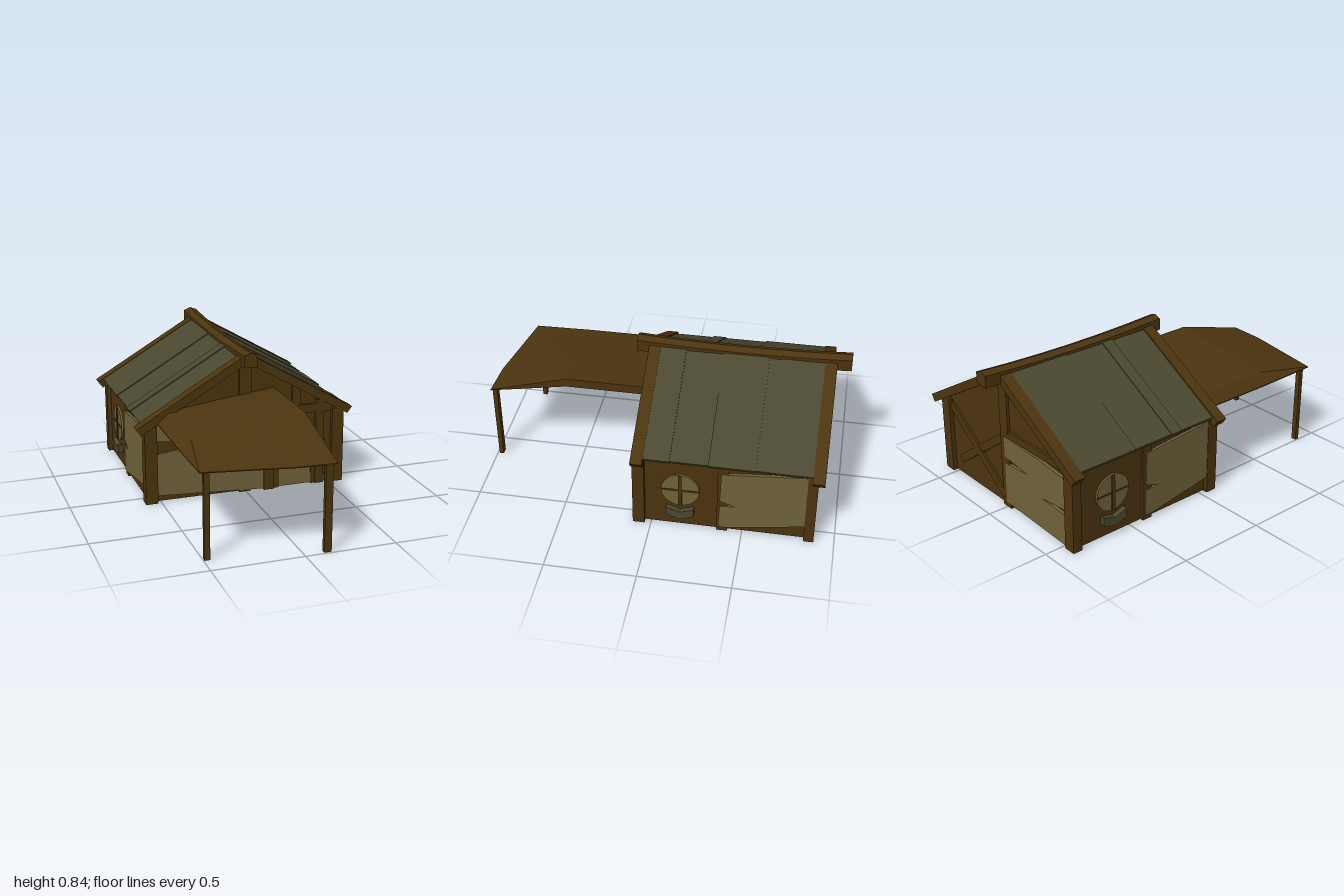
import * as THREE from 'three';

const mat = (name, color) => Object.assign(new THREE.MeshStandardMaterial({ color }), { name });

export function createModel() {
  const root = new THREE.Group();
  root.name = 'cottage';
  const timber = mat('timber', 0x4c340f);
  const plaster = mat('pale boards', 0x70623a);
  const slate = mat('slate', 0x4b4830);

  const add = (parent, name, geometry, material) => {
    const mesh = new THREE.Mesh(geometry, material);
    mesh.name = name;
    parent.add(mesh);
    return mesh;
  };
  // Outline in x, y extruded between two depths
  const slab = (parent, name, points, z0, z1, material = timber, steps = 1) => {
    const shape = new THREE.Shape(points.map(([x, y]) => new THREE.Vector2(x, y)));
    const geometry = new THREE.ExtrudeGeometry(shape, { depth: z1 - z0, bevelEnabled: false, steps });
    geometry.translate(0, 0, z0);
    return add(parent, name, geometry, material);
  };
  // Box given by its limits
  const beam = (parent, name, x0, x1, y0, y1, z0, z1, material = timber) => {
    const mesh = add(parent, name, new THREE.BoxGeometry(x1 - x0, y1 - y0, z1 - z0), material);
    mesh.position.set((x0 + x1) / 2, (y0 + y1) / 2, (z0 + z1) / 2);
    return mesh;
  };
  // Slanted beam between two points on a wall
  const brace = (parent, name, x0, y0, x1, y1, width, depth) => {
    const length = Math.hypot(x1 - x0, y1 - y0);
    const mesh = add(parent, name, new THREE.BoxGeometry(length, width, depth), timber);
    mesh.position.set((x0 + x1) / 2, (y0 + y1) / 2, depth / 2);
    mesh.rotation.z = Math.atan2(y1 - y0, x1 - x0);
  };
  const wallGroup = (name, x, z, turn) => {
    const group = new THREE.Group();
    group.name = name;
    group.position.set(x, 0, z);
    group.rotation.y = turn;
    root.add(group);
    return group;
  };

  // Gabled body and corner posts
  slab(root, 'houseBody',
    [[-0.565, 0.005], [0.565, 0.005], [0.565, 0.44], [0, 0.768], [-0.565, 0.44]], -0.865, 0.075);
  for (const s of [-1, 1]) {
    const [x0, x1] = s < 0 ? [-0.59, -0.52] : [0.52, 0.59];
    beam(root, 'frontCornerPost', x0, x1, 0, 0.45, 0.035, 0.1);
    beam(root, 'backCornerPost', x0, x1, 0, 0.45, -0.89, -0.835);
  }

  // Front wall: split boards, framing and door
  const front = wallGroup('frontWall', 0, 0.075, 0);
  slab(front, 'frontBoards', [
    [-0.52, 0.04], [0.105, 0.005], [0.105, 0.15], [-0.25, 0.17], [0.105, 0.215], [0.105, 0.425],
    [-0.2, 0.47], [-0.52, 0.47], [-0.52, 0.36], [-0.22, 0.32], [-0.52, 0.285]], 0, 0.012, plaster);
  beam(front, 'gablePost', -0.04, 0.03, 0.47, 0.76, 0, 0.015);
  beam(front, 'gablePostFoot', -0.04, 0.03, 0, 0.05, 0, 0.01);
  beam(front, 'doorSidePost', 0.105, 0.165, 0, 0.6, 0, 0.025);
  beam(front, 'doorJamb', 0.165, 0.2, 0, 0.35, 0, 0.012);
  beam(front, 'doorJamb', 0.395, 0.42, 0, 0.35, 0, 0.012);
  beam(front, 'doorLintel', 0.165, 0.42, 0.32, 0.35, 0, 0.013);
  beam(front, 'upperRail', 0.165, 0.52, 0.435, 0.485, 0, 0.016);
  beam(front, 'shortStud', 0.275, 0.325, 0.35, 0.6, 0, 0.014);
  beam(front, 'tallStud', 0.42, 0.47, 0, 0.51, 0, 0.02);
  beam(front, 'sillRail', 0.47, 0.52, 0.005, 0.05, 0, 0.014);
  beam(front, 'door', 0.2, 0.395, 0.005, 0.32, 0, 0.009, plaster);
  add(front, 'doorKnob', new THREE.SphereGeometry(0.008, 8, 6), timber).position.set(0.375, 0.14, 0.013);

  // Back wall: boards on one half, crossed braces on the other
  const back = wallGroup('backWall', 0, -0.865, Math.PI);
  slab(back, 'backBoards', [
    [0, 0.03], [0.52, 0.01], [0.52, 0.19], [0.32, 0.2], [0.52, 0.22], [0.52, 0.4], [0.3, 0.42],
    [0, 0.43], [0, 0.31], [0.2, 0.285], [0, 0.27]], 0, 0.018, plaster);
  beam(back, 'centrePost', -0.035, 0.035, 0, 0.76, 0, 0.015);
  beam(back, 'rightRail', 0, 0.52, 0.43, 0.47, 0, 0.014);
  brace(back, 'longBrace', -0.52, 0.42, -0.03, 0.06, 0.05, 0.012);
  brace(back, 'crossBrace', -0.45, 0.1, -0.04, 0.4, 0.045, 0.009);

  // Side walls: the same wall turned half a circle
  for (const s of [-1, 1]) {
    const side = wallGroup(s > 0 ? 'leftWall' : 'rightWall', s * 0.565, -0.39, s * Math.PI / 2);
    beam(side, 'middlePost', -0.03, 0.03, 0, 0.44, 0, 0.014);
    slab(side, 'sideBoards', [
      [0.03, 0.03], [0.445, 0.1], [0.445, 0.25], [0.445, 0.44], [-0.01, 0.4], [-0.015, 0.215],
      [0.07, 0.185], [-0.015, 0.18], [-0.02, 0.03]], 0.005, 0.022, plaster);
    // Round window with cross bars
    const pane = add(side, 'windowPane', new THREE.CylinderGeometry(0.105, 0.105, 0.012, 20), plaster);
    pane.rotation.x = Math.PI / 2;
    pane.position.set(-0.23, 0.25, 0.006);
    beam(side, 'windowUpright', -0.24, -0.22, 0.147, 0.353, 0, 0.018);
    beam(side, 'windowCrossbar', -0.333, -0.127, 0.245, 0.255, 0, 0.016);
    // Pointed ledge below the window
    slab(side, 'windowLedge', [
      [-0.305, 0.135], [-0.305, 0.085], [-0.23, 0.058], [-0.155, 0.085], [-0.155, 0.135],
      [-0.23, 0.11]], 0, 0.03, slate);
  }

  // Rafters at the gables and slate sheets between them
  const sheets = {
    '1': [[0.045, -0.105, 0.004], [-0.105, -0.31, -0.004], [-0.31, -0.56, 0.004],
      [-0.56, -0.63, -0.003], [-0.63, -0.865, 0.002]],
    '-1': [[0.055, -0.175, -0.003], [-0.175, -0.245, 0.004], [-0.245, -0.49, -0.002], [-0.49, -0.85, 0.004]],
  };
  for (const s of [-1, 1]) {
    const rafter = [[0, 0.823], [s * 0.64, 0.45], [s * 0.612, 0.412], [0, 0.768]];
    const shift = s > 0 ? -0.013 : 0;
    slab(root, 'frontRafter', rafter, 0.05 + shift, 0.115 + shift);
    slab(root, 'backRafter', rafter, -0.91 + shift, -0.845 + shift);
    for (const [z1, z0, lift] of sheets[s]) {
      const top = (x) => 0.816 + lift - 0.583 * x;
      const end = 0.603 + lift;
      slab(root, 'slateSheet', [[0.02 * s, top(0.02)], [end * s, top(end)],
        [(end - 0.012) * s, top(end) - 0.02], [0.02 * s, top(0.02) - 0.03]], z0, z1, slate);
    }
  }

  // Sagging ridge beam
  const ridge = slab(root, 'ridgeBeam',
    [[-0.04, 0.758], [0.04, 0.758], [0.04, 0.825], [0, 0.84], [-0.04, 0.825]], -1, 0.17, timber, 6);
  const rp = ridge.geometry.attributes.position;
  for (let i = 0; i < rp.count; i++) {
    const t = (rp.getZ(i) + 0.415) / 0.585;
    rp.setY(i, rp.getY(i) - 0.018 * (1 - t * t));
  }
  ridge.geometry.computeVertexNormals();

  // Drooping canopy: a box grid shaped by its column and row
  const xs = [-0.52, -0.46, -0.04, 0.165];
  const heights = [0.472, 0.525, 0.58, 0.605];
  const frontZ = [0.9, 0.911, 0.985, 0.995];
  const grid = new THREE.BoxGeometry(3, 1, 2, 3, 1, 2).toNonIndexed();
  const gp = grid.attributes.position;
  for (let i = 0; i < gp.count; i++) {
    const col = Math.round(gp.getX(i) + 1.5);
    const row = Math.round(gp.getZ(i) + 1);
    const thick = row === 2 || col === 0 ? 0.005 : 0.05;
    const y = (row === 2 ? 0.478 : heights[col]) - (gp.getY(i) < 0 ? thick : 0);
    gp.setXYZ(i, xs[col], y, [0.08, 0.55, frontZ[col]][row]);
  }
  grid.computeVertexNormals();
  add(root, 'canopy', grid, timber);
  beam(root, 'canopyPost', -0.495, -0.465, 0, 0.476, 0.86, 0.885);
  beam(root, 'canopyPost', 0.105, 0.145, 0, 0.476, 0.965, 0.99);

  return root;
}
